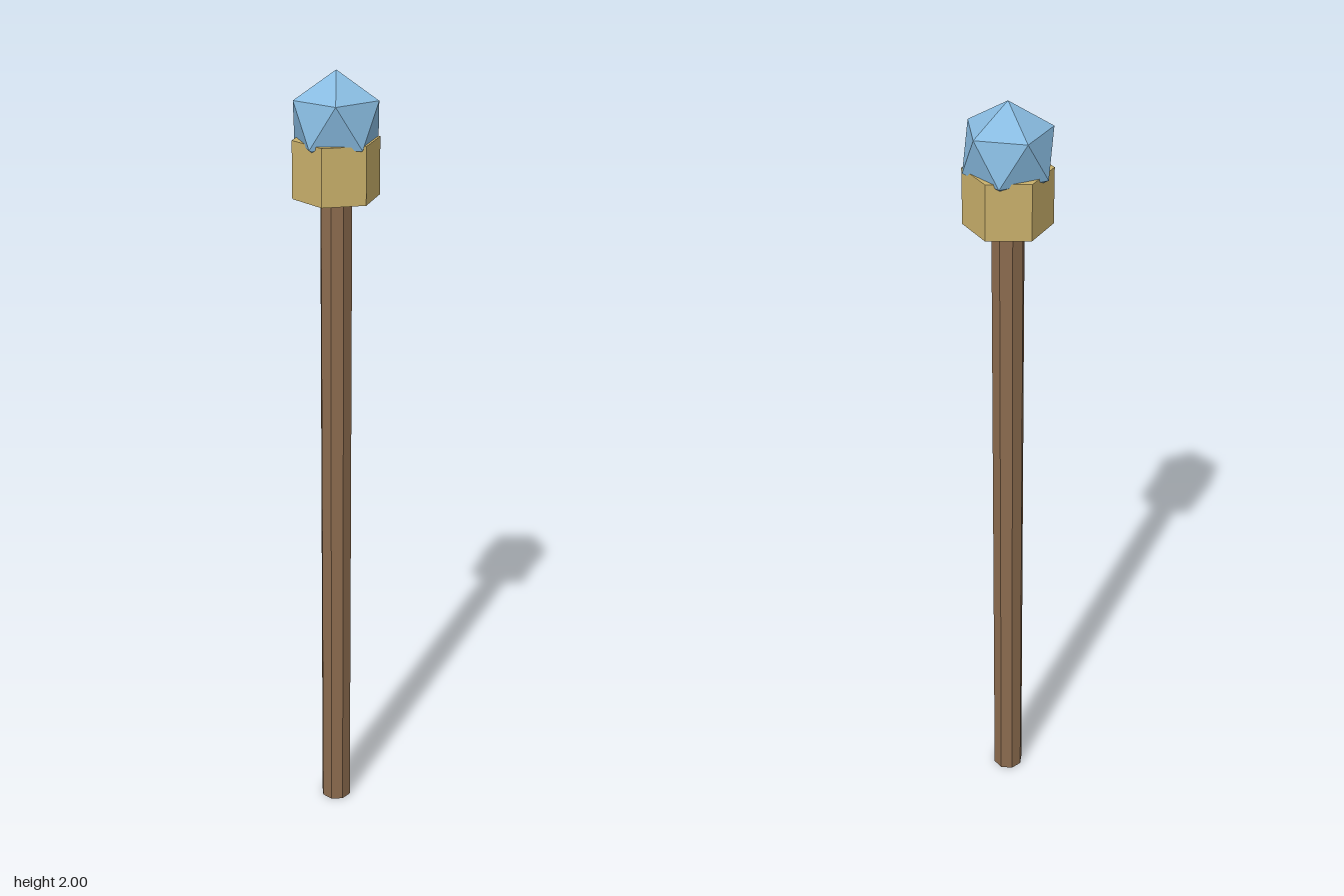
import * as THREE from 'three';

export function createModel() {
  const model = new THREE.Group();
  const add = (name, geometry, color, y) => {
    const material = new THREE.MeshStandardMaterial({ color, flatShading: true });
    const mesh = new THREE.Mesh(geometry, material);
    mesh.name = name;
    mesh.position.y = y;
    model.add(mesh);
  };

  // Eight-sided wooden shaft
  add('shaft', new THREE.CylinderGeometry(0.04, 0.04, 1.7, 8), 0x8b6b4e, 0.85);

  // Hexagonal collar holding the gem
  add('collar', new THREE.CylinderGeometry(0.106, 0.106, 0.14, 6), 0xc9b06b, 1.77);

  // Icosahedral gem, turned so that one vertex points straight up
  const golden = (1 + Math.sqrt(5)) / 2;
  const gem = new THREE.IcosahedronGeometry(0.117, 0);
  gem.rotateZ(-Math.atan2(1, golden));
  add('gem', gem, 0x88bbe0, 1.883);

  return model;
}
